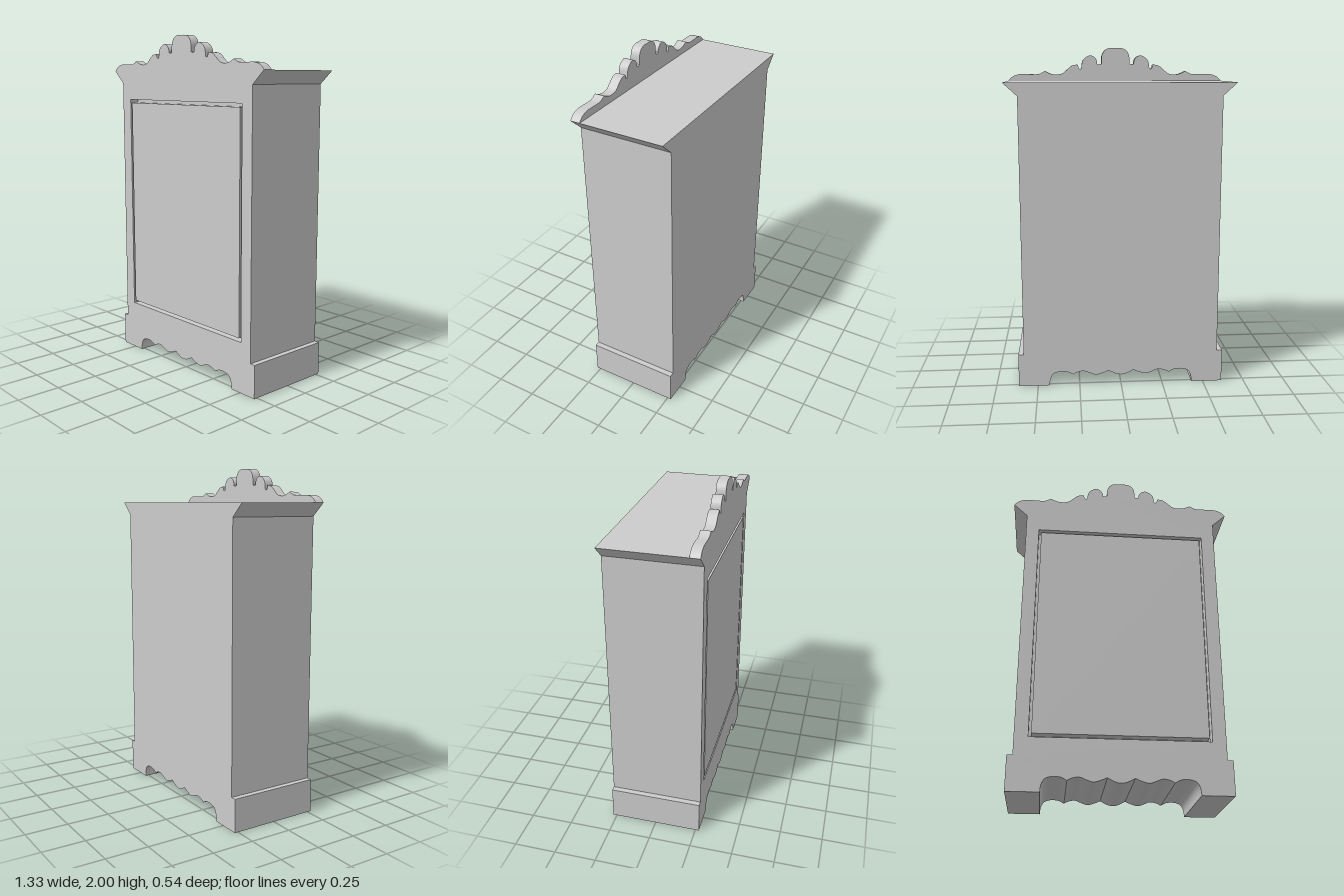
import * as THREE from 'three';
import { toCreasedNormals } from 'three/addons/utils/BufferGeometryUtils.js';

const BACK = -0.272, SLAB = 0.215, FRONT = 0.272;

// Half profiles on the +x side, split into smooth runs that meet at sharp corners.
const scallops = [
  [[0, 0.057], [0.022, 0.06], [0.045, 0.069], [0.075, 0.085]],
  [[0.075, 0.085], [0.11, 0.07], [0.15, 0.06], [0.185, 0.07], [0.225, 0.085], [0.265, 0.078], [0.29, 0.065]],
  [[0.29, 0.065], [0.32, 0.081], [0.35, 0.085], [0.38, 0.083], [0.41, 0.07], [0.426, 0.038], [0.43, 0]],
];
const carcassSide = [[0.615, 0], [0.615, 0.197], [0.583, 0.197], [0.583, 1.725], [0.665, 1.8]];
const crest = [
  [[0.665, 1.8], [0.64, 1.825], [0.6, 1.84], [0.55, 1.841], [0.49, 1.84], [0.465, 1.846], [0.44, 1.86]],
  [[0.44, 1.86], [0.4, 1.842], [0.365, 1.838], [0.33, 1.845], [0.3, 1.87], [0.27, 1.893], [0.235, 1.9]],
  [[0.235, 1.9], [0.227, 1.877], [0.213, 1.876], [0.208, 1.91], [0.195, 1.935], [0.16, 1.955], [0.13, 1.945], [0.115, 1.92], [0.115, 1.905]],
  [[0.115, 1.905], [0.1, 1.9], [0.087, 1.905]],
  [[0.087, 1.905], [0.085, 1.955], [0.065, 1.988], [0.035, 2], [0, 2]],
];

const vectors = (list) => list.map(([x, y]) => new THREE.Vector2(x, y));
const smooth = (runs) => runs.flatMap((run) =>
  new THREE.SplineCurve(vectors(run)).getPoints((run.length - 1) * 3));

// Mirror a half profile into a closed outline, dropping repeated points.
function mirroredShape(half) {
  const left = half.map((p) => new THREE.Vector2(-p.x, p.y)).reverse();
  const all = [...half, ...left];
  return new THREE.Shape(all.filter((p, i) =>
    p.distanceTo(all[(i + 1) % all.length]) > 1e-5));
}

function rectangle(Type, halfWidth, bottom, top) {
  return new Type(vectors([[-halfWidth, bottom], [halfWidth, bottom], [halfWidth, top], [-halfWidth, top]]));
}

function extruded(name, shape, z0, z1, material) {
  const geometry = new THREE.ExtrudeGeometry(shape, { depth: z1 - z0, bevelEnabled: false });
  geometry.translate(0, 0, z0);
  const mesh = new THREE.Mesh(toCreasedNormals(geometry, 0.6), material);
  mesh.name = name;
  return mesh;
}

export function createModel() {
  const model = new THREE.Group();
  model.name = 'cabinet';
  const material = new THREE.MeshStandardMaterial({ color: 0xcccccc });
  const lower = [...smooth(scallops), ...vectors(carcassSide)];

  // Deep carcass with plinth, flared cornice and scalloped underside
  model.add(extruded('carcass', mirroredShape(lower), BACK, SLAB, material));

  // Front slab with carved crest, cut out for the door
  const slab = mirroredShape([...lower, ...smooth(crest)]);
  slab.holes.push(rectangle(THREE.Path, 0.505, 0.3, 1.625));
  model.add(extruded('frontFrame', slab, SLAB, FRONT, material));

  // Door panel, flush with the frame and set off by a narrow groove
  model.add(extruded('doorPanel', rectangle(THREE.Shape, 0.49, 0.32, 1.605), SLAB, FRONT, material));

  return model;
}
